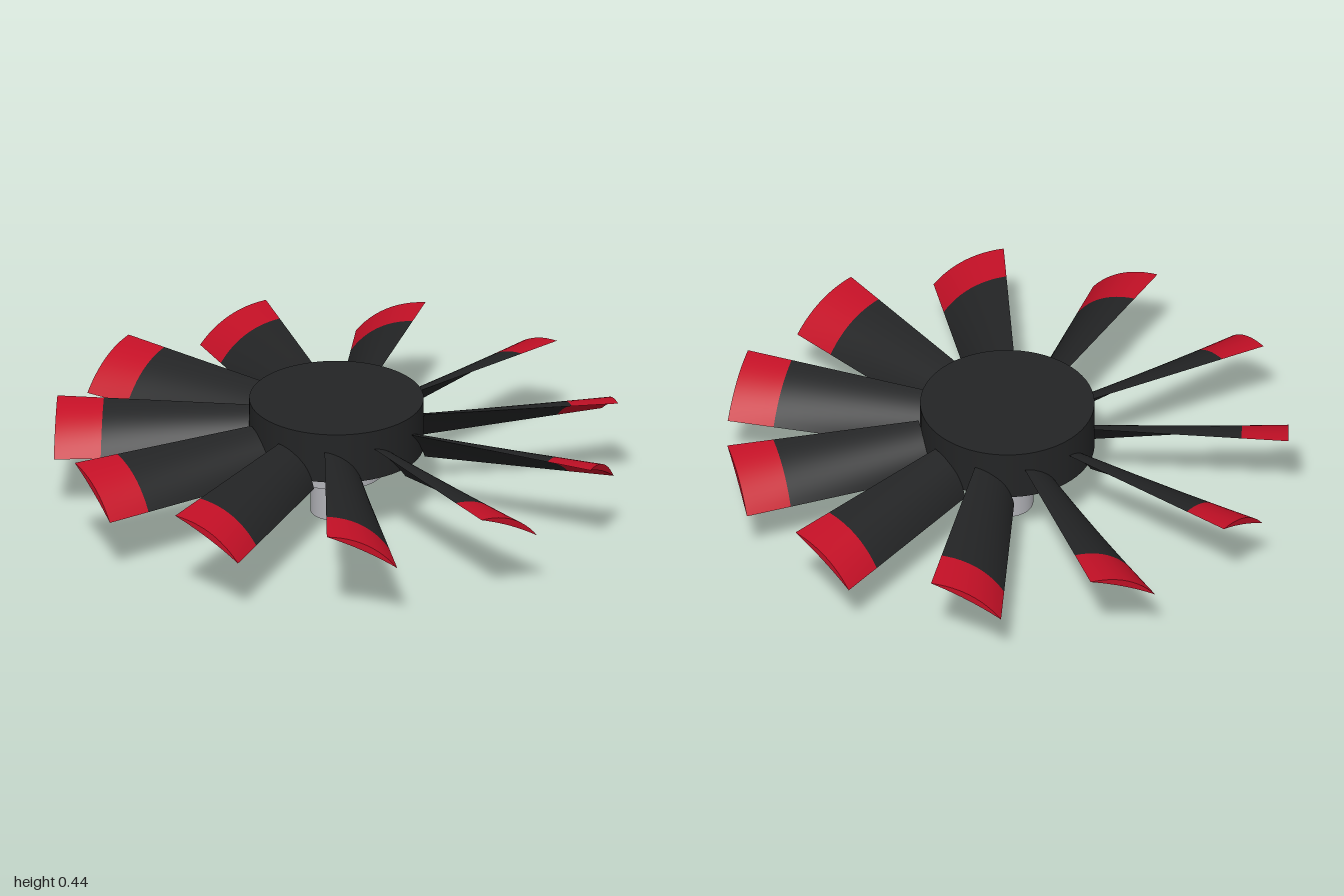
import * as THREE from 'three';
import { mergeGeometries } from 'three/addons/utils/BufferGeometryUtils.js';

const BLADES = 11, ROOT = 0.306, BAND = 0.828, TIP = 0.993;

// Smooth grid surface of point(u, v); its front faces du x dv.
function surface(point, nu, nv) {
  const pos = [], index = [];
  for (let i = 0; i <= nu; i++)
    for (let j = 0; j <= nv; j++) pos.push(...point(i / nu, j / nv));
  for (let i = 0; i < nu; i++)
    for (let j = 0; j < nv; j++) {
      const a = i * (nv + 1) + j, b = a + nv + 1;
      index.push(a, b, a + 1, b, b + 1, a + 1);
    }
  const g = new THREE.BufferGeometry();
  g.setAttribute('position', new THREE.Float32BufferAttribute(pos, 3));
  g.setIndex(index);
  g.computeVertexNormals();
  return g;
}

// Point on the twisted, cambered blade: x along span, c across chord, h from underside (0) to top (1).
function bladePoint(x, c, h) {
  const t = (x - ROOT) / (TIP - ROOT), s = 2 * c - 1;
  const dz = THREE.MathUtils.lerp(0.07, 0.125, t);
  const dy = THREE.MathUtils.lerp(0.073, 0.066, t);
  const len = Math.hypot(dz, dy);
  const bulge = THREE.MathUtils.lerp(0.008, 0.032, h) * (1 - s * s);
  return [x, 0.297 + s * dy + bulge * dz / len, s * dz - bulge * dy / len];
}

// Closed stretch of blade between two radii.
function bladeSection(x0, x1, steps) {
  const at = (t) => THREE.MathUtils.lerp(x0, x1, t);
  return mergeGeometries([
    surface((u, v) => bladePoint(at(v), u, 1), 12, steps), // top
    surface((u, v) => bladePoint(at(u), v, 0), steps, 12), // underside
    surface((u, v) => bladePoint(x1, v, u), 1, 12), // outer end
    surface((u, v) => bladePoint(x0, u, v), 12, 1), // inner end
  ]);
}

export function createModel() {
  const group = new THREE.Group();
  const mat = (name, color) => Object.assign(new THREE.MeshStandardMaterial({ color }), { name });
  const black = mat('black', 0x232425);
  const red = mat('red', 0xc41026);
  const steel = mat('steel', 0xb2b3b8);

  const add = (parent, name, geometry, material) => {
    const mesh = new THREE.Mesh(geometry, material);
    mesh.name = name;
    parent.add(mesh);
    return mesh;
  };
  const disc = (name, r, y0, y1, material) => {
    add(group, name, new THREE.CylinderGeometry(r, r, y1 - y0, 64), material).position.y = (y0 + y1) / 2;
  };

  // Hub, collar and shaft
  disc('hub', 0.308, 0.25, 0.436, black);
  disc('collar', 0.17, 0.157, 0.25, steel);
  disc('shaft', 0.092, 0, 0.145, steel);

  // Ring of blades with coloured tips
  const bladeGeometry = bladeSection(ROOT, BAND, 10);
  const tipGeometry = bladeSection(BAND, TIP, 4);
  for (let i = 0; i < BLADES; i++) {
    const blade = new THREE.Group();
    blade.name = 'blade';
    add(blade, 'bladeBody', bladeGeometry, black);
    add(blade, 'bladeTip', tipGeometry, red);
    blade.rotation.y = 0.02 + (i * 2 * Math.PI) / BLADES;
    group.add(blade);
  }
  group.position.z = -0.004;
  return group;
}
